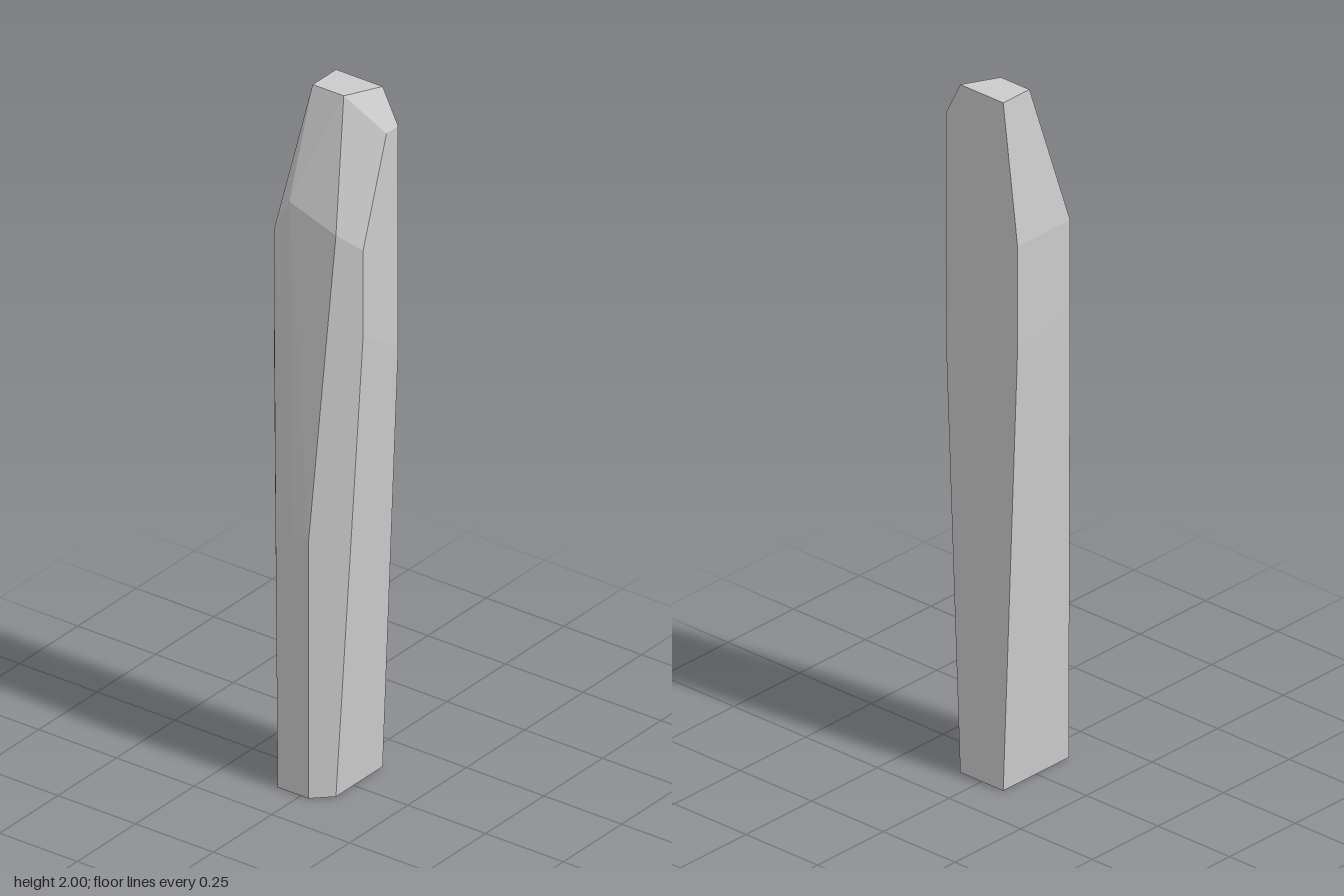
import * as THREE from 'three';
import { ConvexGeometry } from 'three/addons/geometries/ConvexGeometry.js';

// Corners of the faceted shard, ring by ring from the ground up: [x, y, z]
const rings = {
  base: [
    [0.125, 0, -0.075], [0.125, 0, 0.075], [-0.075, 0, 0.075],
    [-0.125, 0, 0.025], [-0.125, 0, -0.075],
  ],
  sideBreak: [[-0.125, 0.76, 0.025], [-0.125, 0.76, -0.025]],
  belly: [
    [0.125, 1.25, 0.125], [-0.025, 1.35, 0.125],
    [-0.075, 1.35, -0.125], [0.125, 1.3, -0.125],
  ],
  shoulder: [
    [-0.025, 1.6, 0.125], [-0.075, 1.65, 0.075], [-0.075, 1.7, -0.075],
    [-0.075, 1.6, -0.125], [0.125, 1.6, -0.125],
  ],
  frontBevel: [[0.125, 1.9, 0.125], [0.075, 1.9, 0.125]],
  tip: [
    [0.125, 2, 0.075], [0.025, 2, 0.025],
    [0.025, 2, -0.075], [0.125, 2, -0.075],
  ],
};

export function createModel() {
  const group = new THREE.Group();
  group.name = 'stoneShard';

  // The shard is the convex skin around all rings
  const points = Object.values(rings).flat().map((p) => new THREE.Vector3(...p));
  const shard = new THREE.Mesh(
    new ConvexGeometry(points),
    new THREE.MeshStandardMaterial({ color: 0xcccccc, flatShading: true })
  );
  shard.name = 'shard';
  group.add(shard);
  return group;
}
